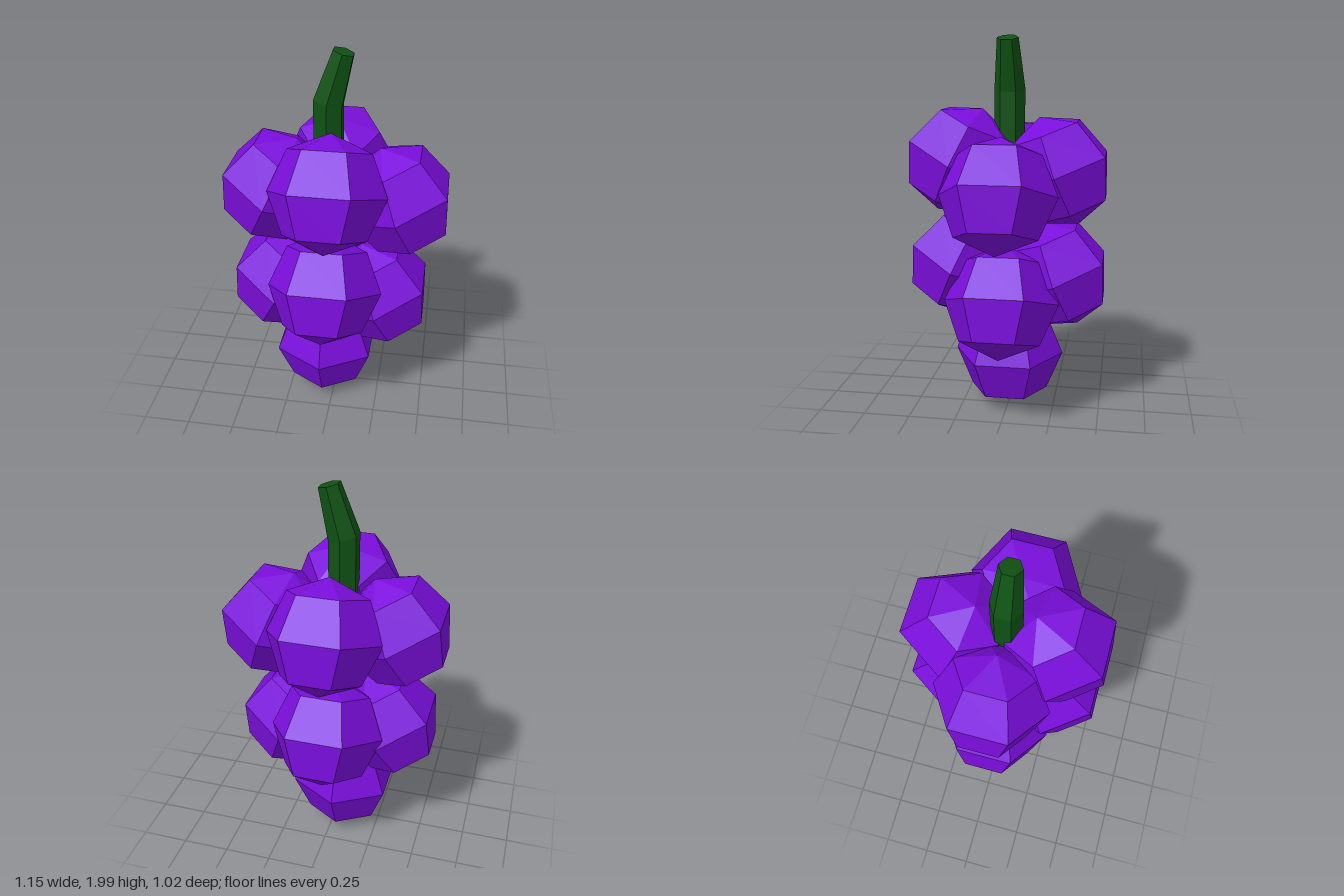
import * as THREE from 'three';

export function createModel() {
  const model = new THREE.Group();
  model.name = 'grapeBunch';
  const purple = new THREE.MeshStandardMaterial({ name: 'grape purple', color: 0x7a0edc, flatShading: true });
  const green = new THREE.MeshStandardMaterial({ name: 'stem green', color: 0x0f5214, flatShading: true });

  // Grapes: six-sided low-poly spheres, turned outward and leaning toward the stem
  const grapeGeometry = new THREE.SphereGeometry(0.295, 6, 4);
  const addGrape = (name, position, turn, lean) => {
    const grape = new THREE.Mesh(grapeGeometry, purple);
    grape.name = name;
    grape.position.set(...position);
    grape.rotation.set(-THREE.MathUtils.degToRad(lean), THREE.MathUtils.degToRad(turn), 0, 'YXZ');
    model.add(grape);
  };

  // Upper tier
  addGrape('upperFrontGrape', [-0.006, 1.365, 0.255], 0, 25);
  addGrape('upperLeftGrape', [0.33, 1.235, 0], 90, 21);
  addGrape('upperBackGrape', [-0.01, 1.315, -0.267], 180, 21);
  addGrape('upperRightGrape', [-0.32, 1.265, -0.005], -90, 25);
  // Lower tier
  addGrape('lowerFrontGrape', [-0.022, 0.815, 0.255], 0, 25);
  addGrape('lowerLeftGrape', [0.24, 0.67, 0], 90, 21);
  addGrape('lowerBackGrape', [-0.02, 0.765, -0.267], 180, 21);
  addGrape('lowerRightGrape', [-0.285, 0.715, -0.005], -90, 25);
  // Lowest grape
  addGrape('bottomGrape', [-0.05, 0.302, 0], 90, 0);

  // Stem: hexagonal, straight through the bunch, then bent and narrowed at the top
  const sections = [
    { x: -0.037, y: 0.5, scale: 1, slope: 0 },
    { x: -0.037, y: 1.737, scale: 1, slope: -0.26 },
    { x: 0.036, y: 1.987, scale: 0.69, slope: -0.27 },
  ];
  const stemGeometry = new THREE.CylinderGeometry(0.08, 0.08, 2, 6, 2);
  const points = stemGeometry.attributes.position;
  for (let i = 0; i < points.count; i++) {
    const s = sections[Math.round(points.getY(i)) + 1];
    const x = points.getX(i) * s.scale;
    points.setXYZ(i, s.x + x, s.y + x * s.slope, points.getZ(i) * s.scale - 0.004);
  }
  stemGeometry.computeVertexNormals();
  const stem = new THREE.Mesh(stemGeometry, green);
  stem.name = 'stem';
  model.add(stem);

  return model;
}
